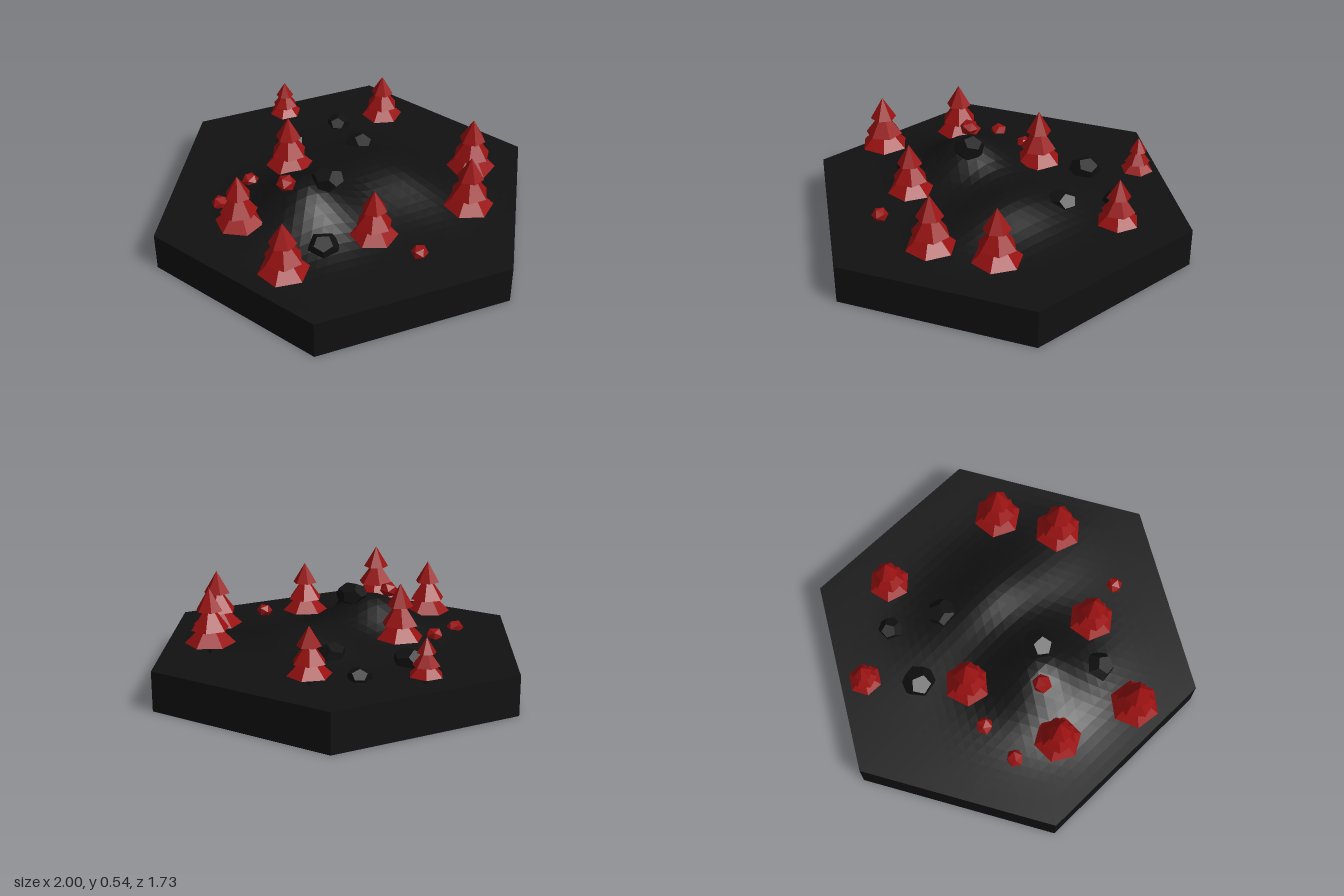
import * as THREE from 'three';

const mat = (name, color, side = THREE.FrontSide) => {
  const m = new THREE.MeshStandardMaterial({ color, side, flatShading: true });
  m.name = name;
  return m;
};

export function createModel() {
  const root = new THREE.Group();
  const ground = mat('charcoal ground', 0x111111, THREE.DoubleSide);
  const stone = mat('charcoal stone', 0x101010, THREE.DoubleSide);
  const foliage = mat('crimson foliage', 0x991111, THREE.DoubleSide);

  const add = (parent, name, geometry, material, x = 0, y = 0, z = 0) => {
    const mesh = new THREE.Mesh(geometry, material);
    mesh.name = name;
    mesh.position.set(x, y, z);
    parent.add(mesh);
    return mesh;
  };

  // Two soft hills on a flat plain
  const bump = (x, z, cx, cz, sx, sz, h) =>
    h * Math.exp(-(((x - cx) / sx) ** 2 + ((z - cz) / sz) ** 2) / 2);
  const heightAt = (x, z) => {
    const edge = Math.max(Math.abs(z), Math.abs(z) / 2 + Math.abs(x) * 0.866) / 0.866;
    const fade = Math.min(1, Math.max(0, (1 - edge) / 0.15));
    return 0.2 + fade * (bump(x, z, -0.03, 0.27, 0.18, 0.17, 0.195)
      + bump(x, z, 0.1, -0.2, 0.25, 0.15, 0.11));
  };

  // Hexagonal terrain: six triangular sectors on a regular grid
  const N = 18, pos = [];
  for (let s = 0; s < 6; s++) {
    const a = s * Math.PI / 3, b = a + Math.PI / 3;
    const point = (i, j) => {
      const x = (Math.cos(a) * i + Math.cos(b) * j) / N;
      const z = (Math.sin(a) * i + Math.sin(b) * j) / N;
      pos.push(x, heightAt(x, z), z);
    };
    for (let i = 0; i < N; i++) {
      for (let j = 0; j < N - i; j++) {
        point(i, j); point(i, j + 1); point(i + 1, j);
        if (i + j < N - 1) { point(i + 1, j); point(i, j + 1); point(i + 1, j + 1); }
      }
    }
  }
  const terrain = new THREE.BufferGeometry();
  terrain.setAttribute('position', new THREE.Float32BufferAttribute(pos, 3));
  terrain.computeVertexNormals();
  add(root, 'terrain', terrain, ground);

  // Open-bottomed rim
  add(root, 'tileRim', new THREE.CylinderGeometry(1, 1, 0.2, 6, 1, true, Math.PI / 6), ground, 0, 0.1, 0);

  // Three-tiered pines: x, z, top height, skirt radius, turn
  const tiers = [[0.17, 0.54, 1], [0.38, 0.78, 0.77], [0.66, 1, 0.54]];
  const trees = [
    [0.6, -0.22, 0.535, 0.125, 0.2], [0.43, -0.5, 0.535, 0.125, 0.1],
    [-0.23, -0.62, 0.48, 0.108, 0.25], [-0.67, -0.32, 0.42, 0.085, 0.5],
    [-0.32, 0.06, 0.535, 0.12, 0.3], [0.37, 0.25, 0.51, 0.118, 0.15],
    [-0.2, 0.575, 0.525, 0.12, 0.0], [0.2, 0.715, 0.53, 0.125, 0.4],
  ];
  for (const [x, z, top, radius, turn] of trees) {
    const tree = new THREE.Group();
    tree.name = 'pineTree';
    tree.position.set(x, 0.2, z);
    tree.rotation.y = turn;
    const h = top - 0.2;
    add(tree, 'trunk', new THREE.CylinderGeometry(0.01, 0.012, 0.08, 5), stone, 0, 0.04, 0);
    tiers.forEach(([lo, hi, r], i) => {
      const cone = add(tree, 'foliageTier',
        new THREE.ConeGeometry(radius * r, h * (hi - lo), 6), foliage, 0, h * (lo + hi) / 2, 0);
      cone.rotation.y = i * 0.35;
    });
    root.add(tree);
  }

  // Boulders: x, y, z, radius
  const rocks = [[0.04, 0.4, 0.19, 0.082], [0.22, 0.235, 0.45, 0.08], [-0.15, 0.245, -0.31, 0.078],
    [-0.39, 0.215, -0.44, 0.062], [-0.48, 0.22, -0.13, 0.085]];
  rocks.forEach(([x, y, z, r], i) => {
    const rock = add(root, 'boulder', new THREE.DodecahedronGeometry(r), stone, x, y, z);
    rock.scale.y = 0.75;
    rock.rotation.y = i * 0.7;
  });

  // Small round shrubs: x, y, z, radius
  const shrubs = [[0.6, 0.225, 0.195, 0.043], [-0.405, 0.23, 0.27, 0.046],
    [-0.41, 0.215, 0.49, 0.046], [-0.09, 0.405, 0.35, 0.05]];
  shrubs.forEach(([x, y, z, r], i) => {
    const shrub = add(root, 'shrub', new THREE.IcosahedronGeometry(r), foliage, x, y, z);
    shrub.scale.y = 0.85;
    shrub.rotation.y = i * 0.5;
  });

  return root;
}
